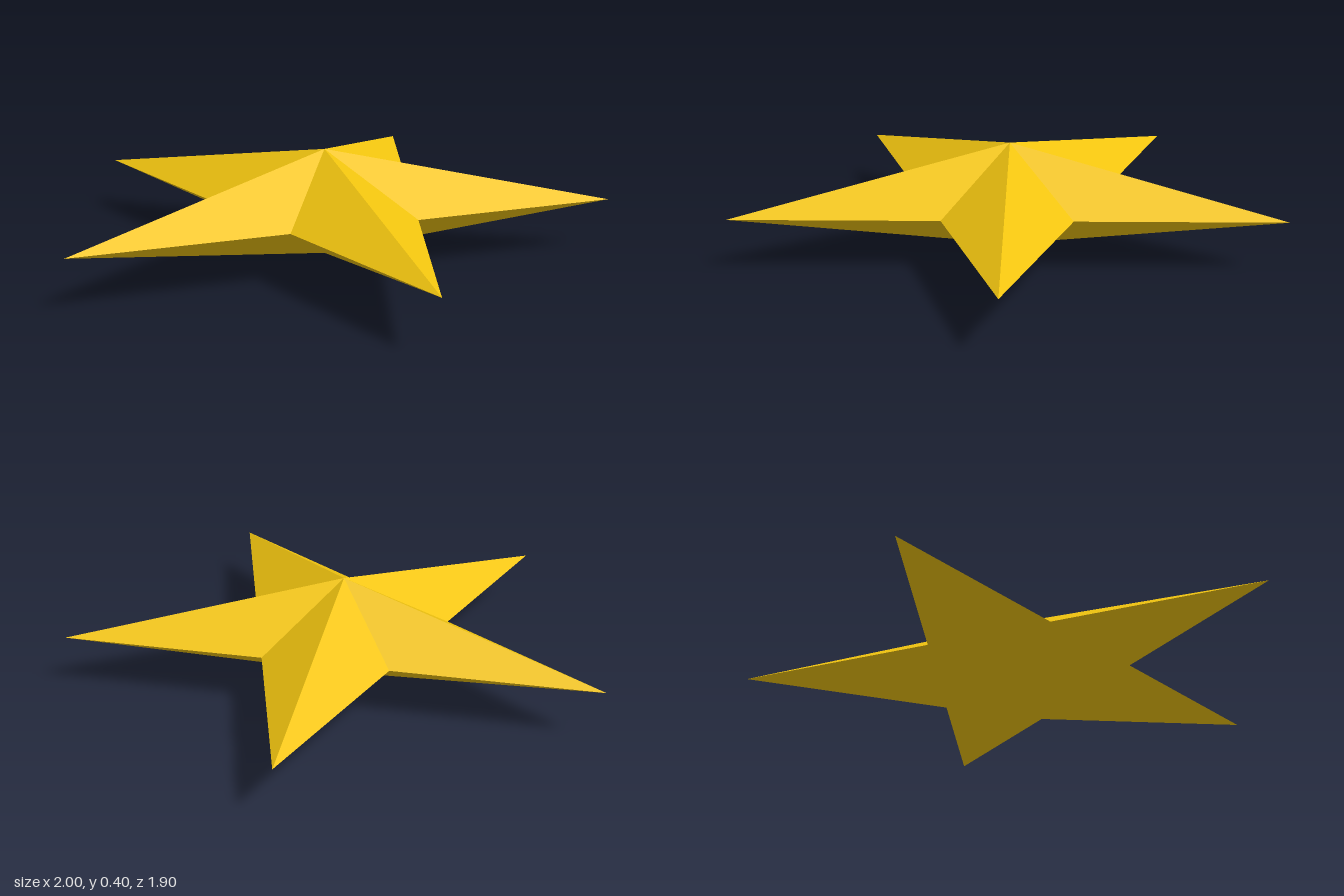
import * as THREE from 'three';

const POINTS = 5;
const OUTER = 1 / Math.sin((2 * Math.PI) / POINTS); // side tips land on x = -1 and 1
const INNER = OUTER * 0.382;
const HALF_HEIGHT = 0.2;

// Rim corner i: even corners are tips, odd corners are notches
function rimPoint(i) {
  const angle = (i * Math.PI) / POINTS;
  const radius = i % 2 === 0 ? OUTER : INNER;
  return [Math.sin(angle) * radius, 0, -Math.cos(angle) * radius];
}

// Faceted double pyramid over a star-shaped rim
function starGeometry() {
  const top = [0, HALF_HEIGHT, 0];
  const bottom = [0, -HALF_HEIGHT, 0];
  const positions = [];
  for (let i = 0; i < POINTS * 2; i++) {
    const a = rimPoint(i);
    const b = rimPoint((i + 1) % (POINTS * 2));
    positions.push(...top, ...b, ...a);
    positions.push(...bottom, ...a, ...b);
  }
  const geometry = new THREE.BufferGeometry();
  geometry.setAttribute('position', new THREE.Float32BufferAttribute(positions, 3));
  geometry.computeVertexNormals();
  return geometry;
}

export function createModel() {
  const group = new THREE.Group();
  group.name = 'star';
  const gold = new THREE.MeshStandardMaterial({ color: 0xf1c40f, flatShading: true });
  const star = new THREE.Mesh(starGeometry(), gold);
  star.name = 'starBody';
  // Centre the uneven front and back reach, and rest the lower peak on the ground
  const frontReach = OUTER * Math.cos(Math.PI / POINTS);
  star.position.set(0, HALF_HEIGHT, (OUTER - frontReach) / 2);
  group.add(star);
  return group;
}
